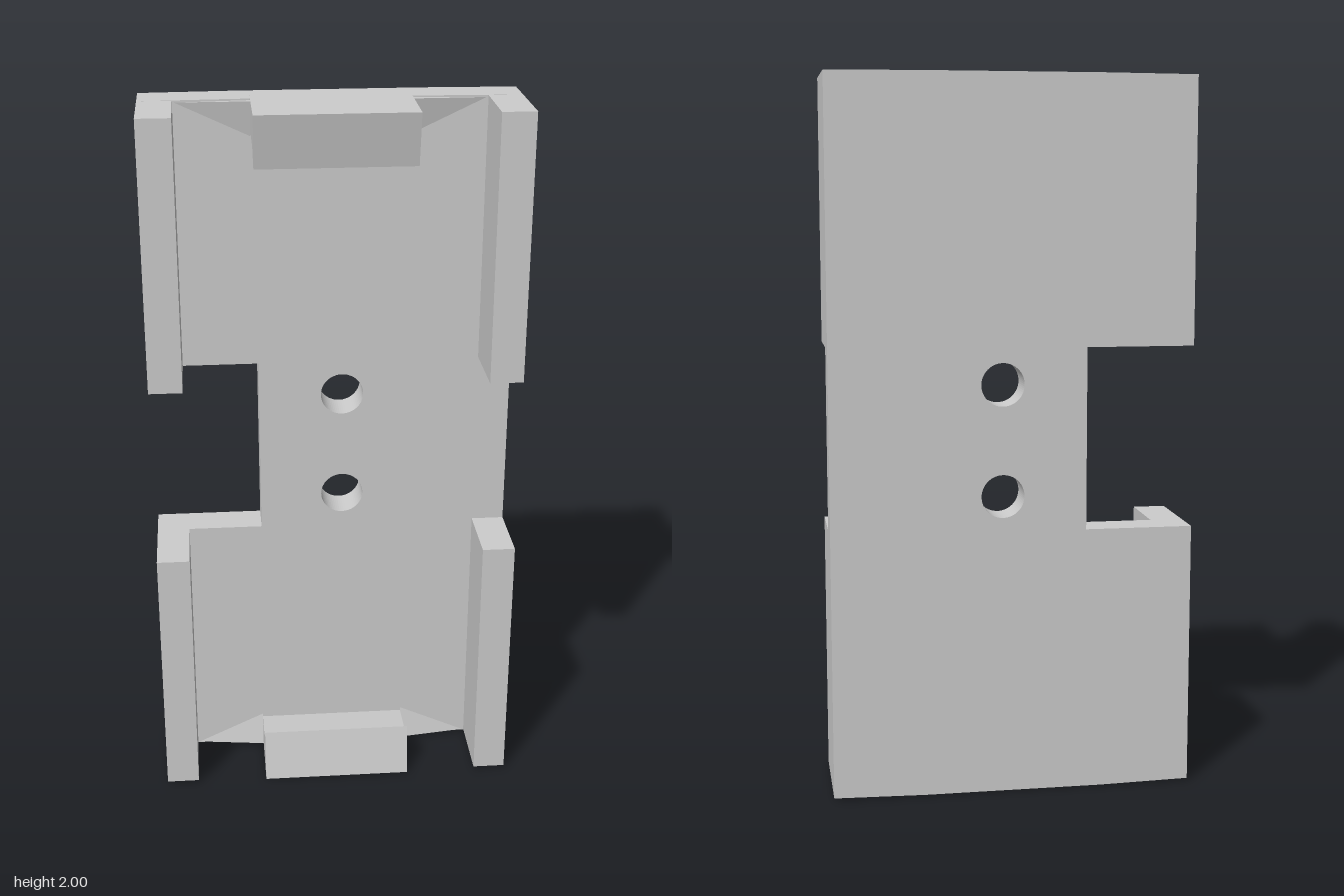
import * as THREE from 'three';
import { ConvexGeometry } from 'three/addons/geometries/ConvexGeometry.js';

const W = 0.507, BACK = -0.152, FLOOR = -0.05, FRONT = 0.15;
const LOW = 0.008, HIGH = 1.997, NOTCH_LOW = 0.75, NOTCH_HIGH = 1.26;
const CLIP = 0.213;

export function createModel() {
  const group = new THREE.Group();
  const material = new THREE.MeshStandardMaterial({ color: 0xcccccc, flatShading: true });
  const add = (name, geometry, mat = material) => {
    const mesh = new THREE.Mesh(geometry, mat);
    mesh.name = name;
    group.add(mesh);
    return mesh;
  };
  // Heights measured from the bottom end (s = 1) or the top end (s = -1)
  const fromEnd = (s, h) => (s > 0 ? h : 2 - h);

  // Back plate with a side notch, slightly bowed ends and two screw holes
  const outline = new THREE.Shape([
    [-W, LOW], [-0.25, 0.003], [0.25, 0.003], [W, LOW],
    [W, HIGH], [0.25, 1.999], [-0.25, 1.999], [-W, HIGH],
    [-W, NOTCH_HIGH], [-0.205, NOTCH_HIGH], [-0.205, NOTCH_LOW], [-W, NOTCH_LOW],
  ].map(([x, y]) => new THREE.Vector2(x, y)));
  for (const y of [0.85, 1.16]) {
    outline.holes.push(new THREE.Path().absarc(0.03, y, 0.06, 0, Math.PI * 2, true));
  }
  const plate = new THREE.ExtrudeGeometry(outline, {
    depth: FLOOR - BACK, bevelEnabled: false, curveSegments: 32,
  });
  plate.translate(0, 0, BACK);
  const smooth = new THREE.MeshStandardMaterial({ color: 0xcccccc });
  add('backPlate', plate, smooth);

  // Four side walls, interrupted at mid height
  for (const side of [-1, 1]) {
    for (const [a, b] of [[LOW, NOTCH_LOW], [NOTCH_HIGH, HIGH]]) {
      const wall = add('sideWall', new THREE.BoxGeometry(0.092, b - a, FRONT - FLOOR));
      wall.position.set(side * (W - 0.046), (a + b) / 2, (FRONT + FLOOR) / 2);
    }
  }

  for (const s of [1, -1]) {
    // Hooked end clip, profile in (z, height from the end)
    const profile = new THREE.Shape([
      [-0.1, 0], [FRONT, 0], [0.12, 0.145], [0.065, 0.1], [FLOOR, 0.09], [-0.1, 0.09],
    ].map(([z, h]) => new THREE.Vector2(z, fromEnd(s, h))));
    const clip = new THREE.ExtrudeGeometry(profile, { depth: CLIP * 2, bevelEnabled: false });
    clip.rotateY(-Math.PI / 2).translate(CLIP, 0, 0);
    add('endClip', clip);

    // Shallow gussets that blend each clip into the plate
    for (const side of [-1, 1]) {
      const corners = [
        [0.41, 0.008, FLOOR], [CLIP, 0.1, FLOOR], [CLIP, 0.004, -0.03], [CLIP, 0.006, -0.07],
      ].map(([x, h, z]) => new THREE.Vector3(side * x, fromEnd(s, h), z));
      add('clipGusset', new ConvexGeometry(corners));
    }
  }
  return group;
}
